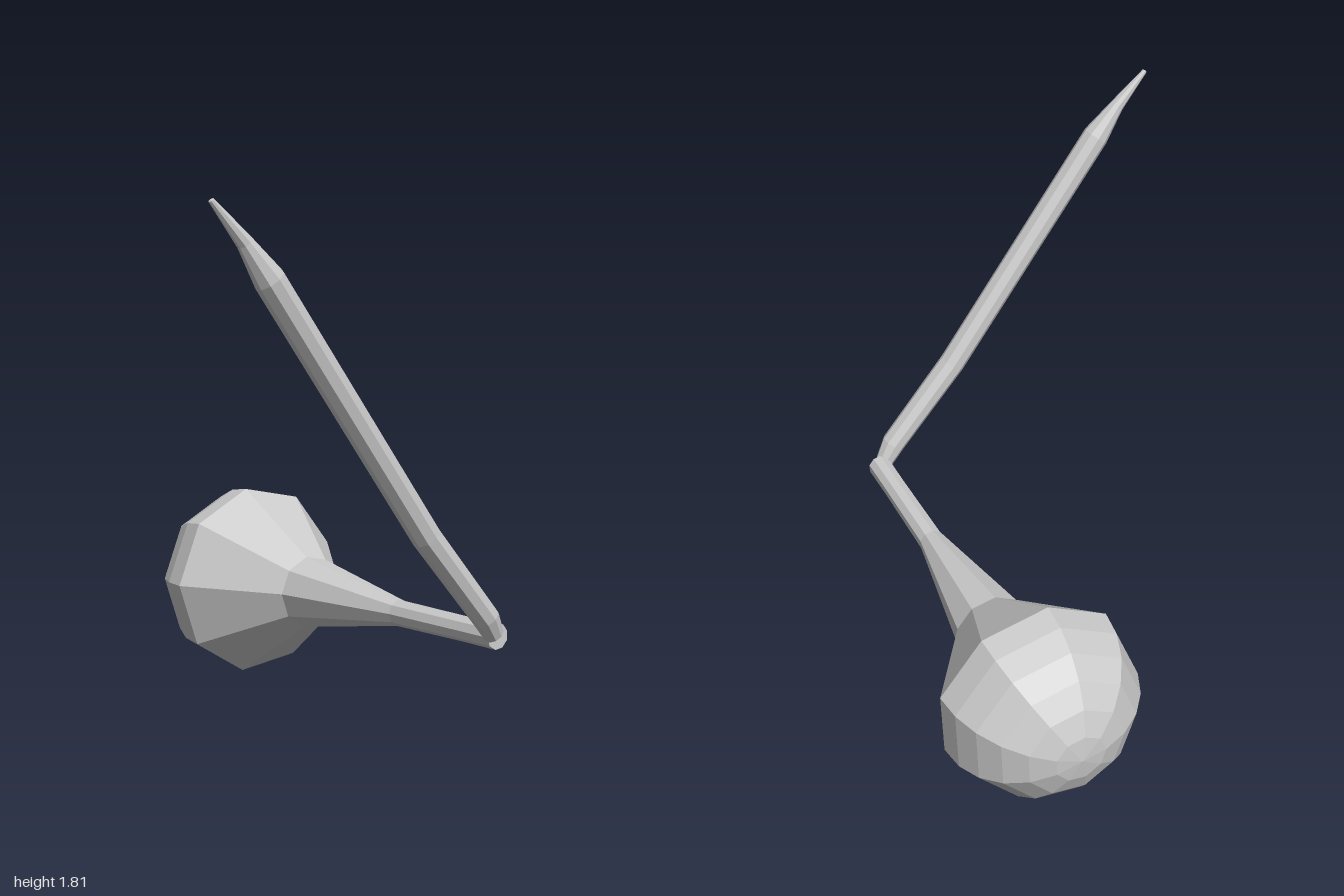
import * as THREE from 'three';

const SIDES = 9;
const material = new THREE.MeshStandardMaterial({ color: 0xcccccc, flatShading: true });

// Skin a row of parallel rings [x, y, z, radius]; a zero radius closes the end.
function loft(name, rings, startAngle) {
  const centres = rings.map(([x, y, z]) => new THREE.Vector3(x, y, z));
  const axis = centres[centres.length - 1].clone().sub(centres[0]).normalize();
  const across = new THREE.Vector3().crossVectors(axis, new THREE.Vector3(0, 1, 0)).normalize();
  const up = new THREE.Vector3().crossVectors(across, axis);
  const positions = [], index = [];

  rings.forEach((ring, i) => {
    for (let j = 0; j < SIDES; j++) {
      const angle = startAngle + (j / SIDES) * Math.PI * 2;
      const p = centres[i].clone()
        .addScaledVector(across, Math.cos(angle) * ring[3])
        .addScaledVector(up, Math.sin(angle) * ring[3]);
      positions.push(p.x, p.y, p.z);
    }
  });
  for (let i = 0; i < rings.length - 1; i++) {
    for (let j = 0; j < SIDES; j++) {
      const a = i * SIDES + j, b = i * SIDES + (j + 1) % SIDES;
      const c = a + SIDES, d = b + SIDES;
      if (rings[i][3] > 0) index.push(a, c, b);
      if (rings[i + 1][3] > 0) index.push(b, c, d);
    }
  }
  const geometry = new THREE.BufferGeometry();
  geometry.setAttribute('position', new THREE.Float32BufferAttribute(positions, 3));
  geometry.setIndex(index);
  geometry.computeVertexNormals();
  const mesh = new THREE.Mesh(geometry, material);
  mesh.name = name;
  return mesh;
}

export function createModel() {
  const group = new THREE.Group();
  group.name = 'bulbClub';

  // Neck flaring into a round bulb, as [distance along the axis, radius]
  const start = new THREE.Vector3(0.502, 0.405, 0.62);
  const centre = new THREE.Vector3(0.052, 0.354, -0.652);
  const axis = centre.clone().sub(start);
  const length = axis.length();
  axis.normalize();
  const profile = [[0, 0], [0, 0.044], [0.16, 0.043], [0.5, 0.046], [1.01, 0.131]];
  const radius = 0.354, steps = 6;
  for (let i = 0; i <= steps; i++) {
    const a = (i / steps) * Math.PI / 2;
    profile.push([length + radius * Math.sin(a), i === steps ? 0 : radius * Math.cos(a)]);
  }
  const bulbRings = profile.map(([t, r]) => [...start.clone().addScaledVector(axis, t).toArray(), r]);
  group.add(loft('neckAndBulb', bulbRings, THREE.MathUtils.degToRad(17)));

  // Long arm rising from the elbow to a thin pointed tip
  group.add(loft('arm', [
    [0.49, 0.405, 0.63, 0],
    [0.484, 0.415, 0.632, 0.034],
    [0.445, 0.48, 0.655, 0.045],
    [0.205, 0.775, 0.74, 0.048],
    [-0.358, 1.59, 0.942, 0.048],
    [-0.435, 1.695, 0.963, 0.026],
    [-0.54, 1.815, 0.992, 0.009],
    [-0.542, 1.818, 0.993, 0],
  ], 0.3));

  return group;
}
